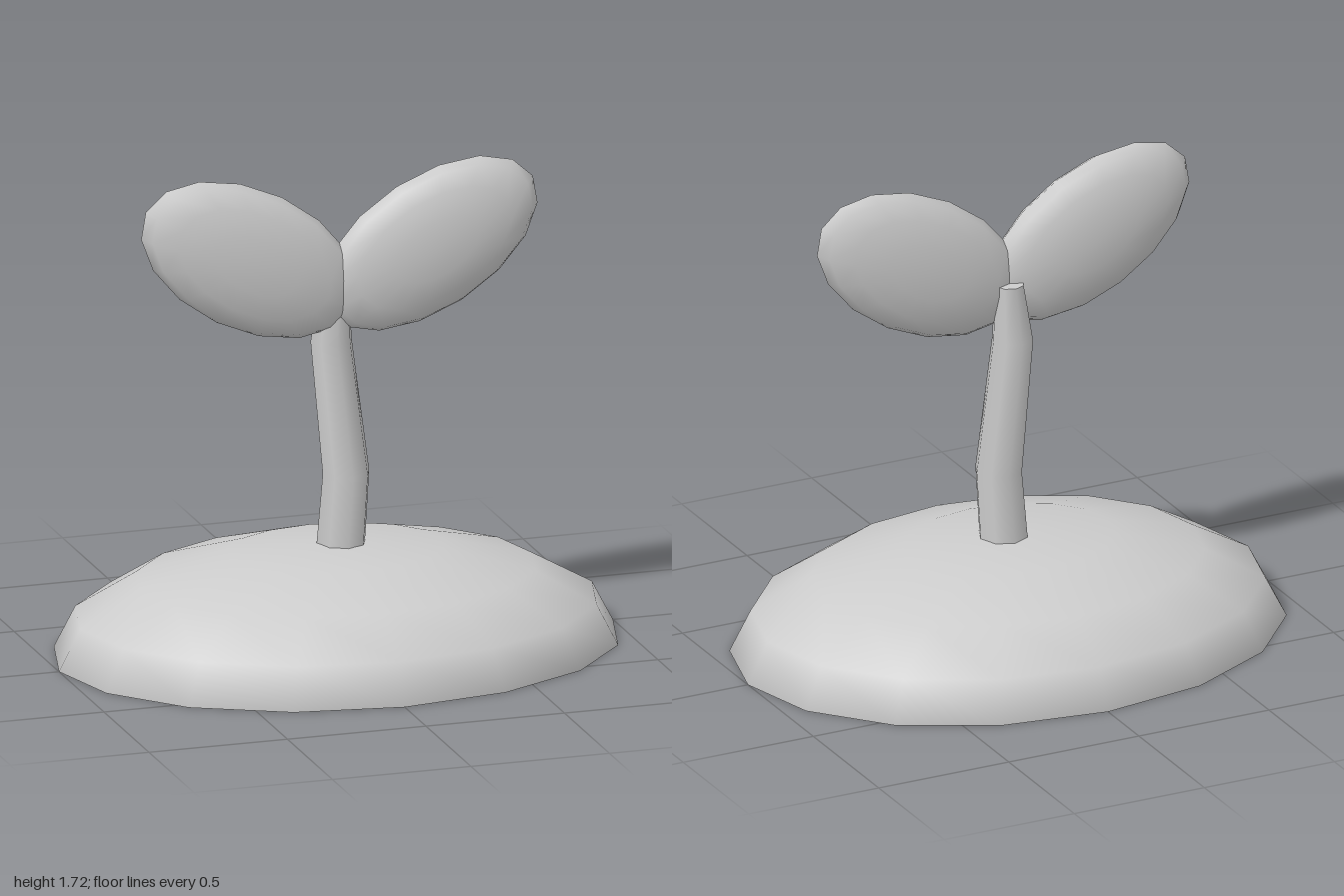
import * as THREE from 'three';

export function createModel() {
  const group = new THREE.Group();
  const paleGrey = new THREE.MeshStandardMaterial({ color: 0xcccccc });

  function add(name, geometry) {
    const mesh = new THREE.Mesh(geometry, paleGrey);
    mesh.name = name;
    group.add(mesh);
    return mesh;
  }

  // Oval mound of soil: a flattened half sphere with a closed underside
  const dome = new THREE.SphereGeometry(1, 16, 4, 0, Math.PI * 2, 0, Math.PI / 2);
  add('mound', dome.scale(1, 0.38, 0.765));
  const base = new THREE.CircleGeometry(1, 16).rotateX(Math.PI / 2);
  add('moundBase', base.scale(1, 1, 0.765));

  // Bent, tapering stem: each ring of a cylinder is moved to its own station
  const stations = [
    { x: 0.015, y: 0.34, z: 0, r: 0.088 },
    { x: 0.036, y: 0.62, z: 0, r: 0.084 },
    { x: -0.018, y: 1.1, z: 0, r: 0.074 },
    { x: 0, y: 1.31, z: -0.01, r: 0.052 },
  ];
  const stem = new THREE.CylinderGeometry(1, 1, 3, 8, 3);
  const p = stem.attributes.position;
  for (let i = 0; i < p.count; i++) {
    const s = stations[Math.round(p.getY(i) + 1.5)];
    p.setXYZ(i, s.x + p.getX(i) * s.r, s.y, s.z + p.getZ(i) * s.r);
  }
  add('stem', stem);

  // Pair of flattened oval leaves, mirrored and meeting at the middle
  for (const side of [1, -1]) {
    const blade = new THREE.SphereGeometry(1, 16, 8).rotateX(Math.PI / 2);
    const leaf = add(side > 0 ? 'leftLeaf' : 'rightLeaf', blade.scale(0.427, 0.244, 0.095));
    leaf.position.set(side * 0.325, 1.425, 0.037);
    leaf.rotation.z = side * 0.505;
  }

  return group;
}
